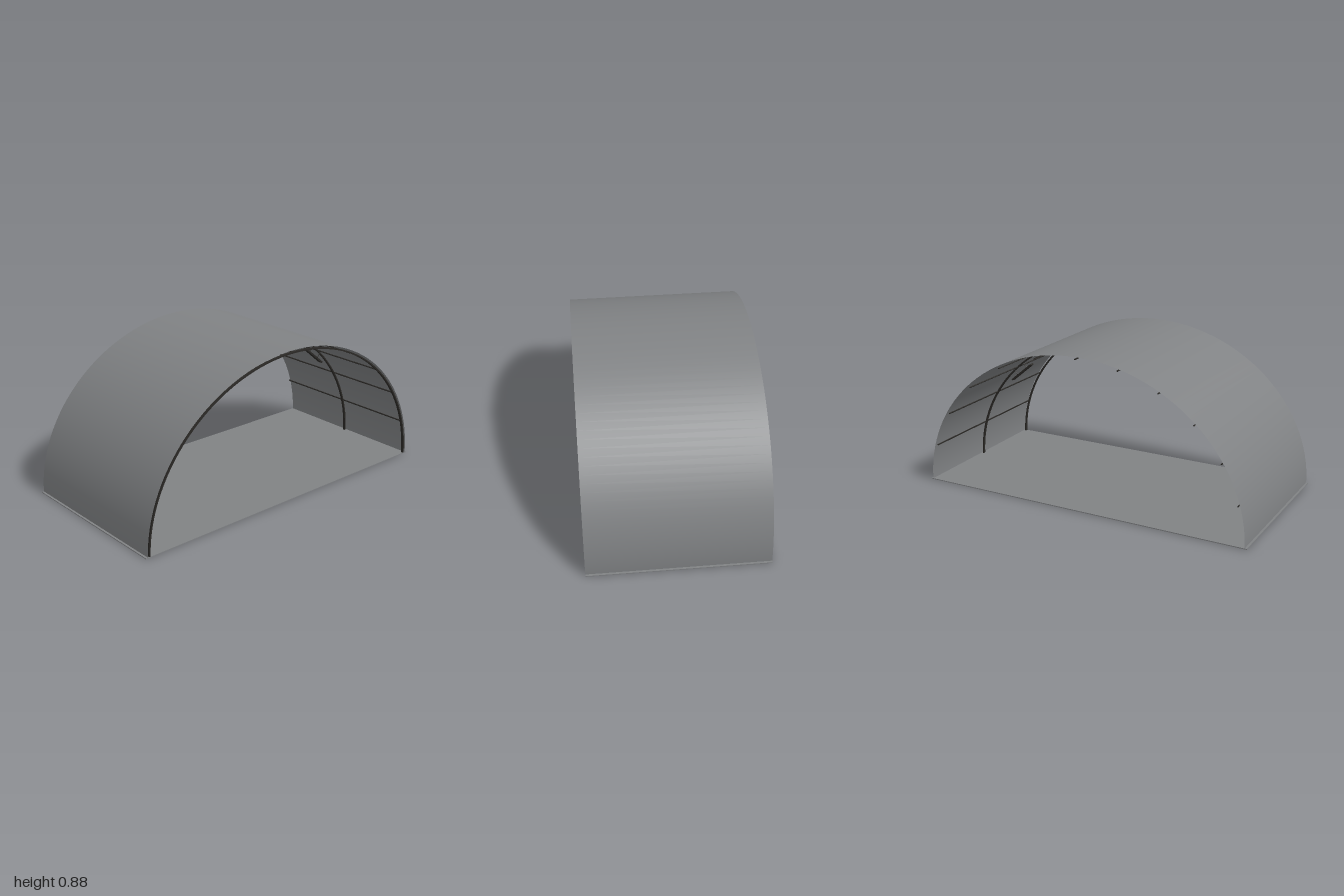
import * as THREE from 'three';

const HALF_DEPTH = 0.495;
const RX = 0.975, RY = 0.865; // frame ellipse, just inside the cover

export function createModel() {
  const grey = new THREE.MeshStandardMaterial({ color: 0x808284 });
  grey.name = 'grey sheet';
  grey.side = THREE.DoubleSide;
  const dark = new THREE.MeshStandardMaterial({ color: 0x2b2926 });
  dark.name = 'dark metal';

  const model = new THREE.Group();
  model.name = 'archedShelter';

  function add(name, geometry, material, parent = model) {
    const mesh = new THREE.Mesh(geometry, material);
    mesh.name = name;
    parent.add(mesh);
    return mesh;
  }

  // Floor plate
  add('floor', new THREE.BoxGeometry(2, 0.005, 2 * HALF_DEPTH).translate(0, 0.0025, 0), grey);

  // Smooth curved cover: an open half cylinder stretched to an ellipse
  const cover = new THREE.CylinderGeometry(1, 1, 2 * HALF_DEPTH, 64, 1, true, -Math.PI / 2, Math.PI);
  cover.rotateX(-Math.PI / 2).scale(0.988, 0.877, 1);
  cover.computeBoundingBox();
  if (cover.boundingBox.min.y < -0.1) cover.rotateZ(Math.PI);
  cover.translate(0, 0.003, 0);
  add('cover', cover, grey);

  // Arched ribs at the front and the middle
  function ribGeometry(width) {
    const shape = new THREE.Shape();
    shape.absellipse(0, 0, RX + 0.004, RY + 0.004, 0, Math.PI, false, 0);
    shape.lineTo(-RX + 0.004, 0);
    shape.absellipse(0, 0, RX - 0.004, RY - 0.004, Math.PI, 0, true, 0);
    const g = new THREE.ExtrudeGeometry(shape, { depth: width, bevelEnabled: false, curveSegments: 32 });
    return g.translate(0, 0, -width / 2);
  }
  [['frontRib', HALF_DEPTH - 0.008], ['middleRib', 0]].forEach(([name, z]) => {
    add(name, ribGeometry(0.015), dark).position.z = z;
  });

  // Lengthwise purlins
  for (let i = 1; i < 12; i++) {
    const a = (i * Math.PI) / 12;
    const purlin = add('purlin', new THREE.BoxGeometry(0.006, 0.006, 2 * HALF_DEPTH - 0.01), dark);
    purlin.position.set(RX * Math.cos(a), RY * Math.sin(a), 0);
    purlin.rotation.z = a;
  }

  // Lamps hung from the middle rib on two short rods
  for (const side of [-1, 1]) {
    const lamp = new THREE.Group();
    lamp.name = side > 0 ? 'leftLamp' : 'rightLamp';
    lamp.position.set(side * 0.66, 0.583, 0);
    lamp.rotation.z = -side * 0.69;
    add('lampBar', new THREE.BoxGeometry(0.178, 0.01, 0.03), dark, lamp);
    for (const x of [-0.042, 0.042]) {
      add('lampRod', new THREE.CylinderGeometry(0.002, 0.002, 0.042, 6).translate(x, 0.024, 0), dark, lamp);
    }
    model.add(lamp);
  }
  return model;
}
